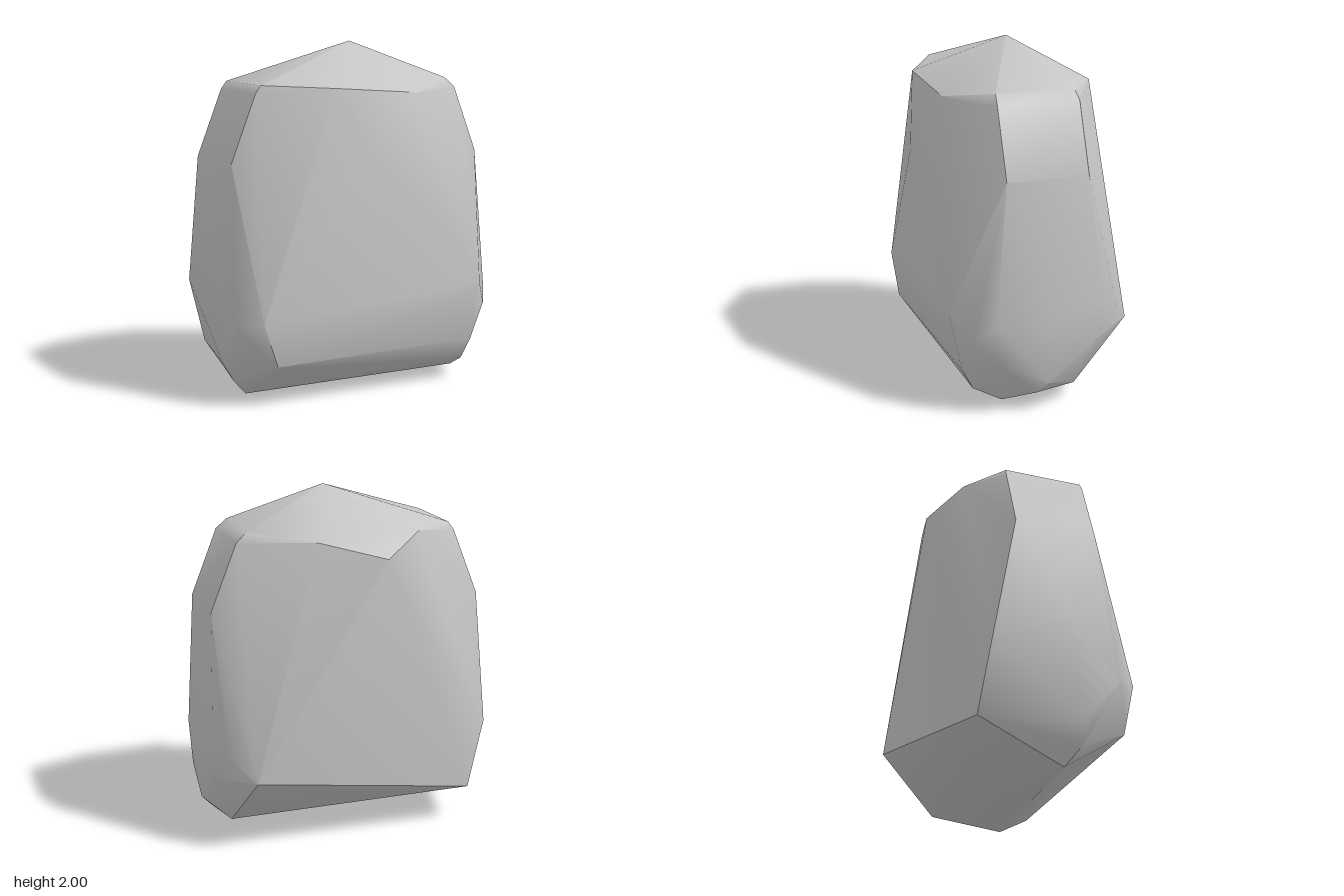
import * as THREE from 'three';
import { toCreasedNormals } from 'three/addons/utils/BufferGeometryUtils.js';
import { ConvexGeometry } from 'three/addons/geometries/ConvexGeometry.js';

// Corner points of the boulder, grouped by region
const crown = [
  [0.08, 2, -0.01],
  [-0.61, 1.775, 0.24], [-0.61, 1.775, -0.22], [-0.64, 1.73, 0.24], [-0.64, 1.73, -0.23],
  [0.59, 1.785, 0.23], [0.59, 1.785, -0.22], [0.65, 1.73, 0.24], [0.65, 1.73, -0.23],
  [-0.25, 1.76, 0.45], [0.27, 1.72, 0.43],
  [-0.36, 1.77, -0.39], [-0.13, 1.65, -0.54], [0.25, 1.75, -0.45],
];
const shoulders = [
  [-0.79, 1.35, 0.24], [-0.79, 1.35, -0.23], [0.8, 1.35, 0.24], [0.8, 1.35, -0.23],
  [0, 1.36, 0.54],
];
const flanks = [
  [-0.845, 0.78, 0.05], [-0.82, 0.45, 0.35], [-0.8, 0.6, -0.37],
  [0.84, 0.5, 0], [0.83, 0.62, -0.32], [0.83, 0.4, -0.27],
  [0.83, 0.55, 0.31], [0.82, 0.3, 0.26],
  [0.76, 0.55, -0.43], [0.76, 0.45, 0.415],
  [0.66, 0.6, 0.525], [-0.71, 0.49, 0.48], [0.63, 0.43, -0.54],
];
const foot = [
  [-0.62, 0.24, 0.46], [0.65, 0.25, 0.45], [0.63, 0.12, 0.38],
  [0.66, 0.04, 0.22], [-0.65, 0, 0.09], [-0.75, 0.1, 0.16], [-0.81, 0.21, 0.14],
  [0.83, 0.18, 0], [0.76, 0.1, 0.05], [0.7, 0.1, -0.2], [0.73, 0.3, -0.3],
  [-0.69, 0.21, -0.41],
];

export function createModel() {
  const stone = new THREE.MeshStandardMaterial({ color: 0xc5c5c5 });
  stone.name = 'grey stone';

  // Faceted hull, softened across shallow edges and creased at sharp ones
  const points = [...crown, ...shoulders, ...flanks, ...foot]
    .map(([x, y, z]) => new THREE.Vector3(x, y, z));
  const boulder = new THREE.Mesh(toCreasedNormals(new ConvexGeometry(points), 0.68), stone);
  boulder.name = 'boulder';

  const model = new THREE.Group();
  model.name = 'rock';
  model.add(boulder);
  return model;
}
